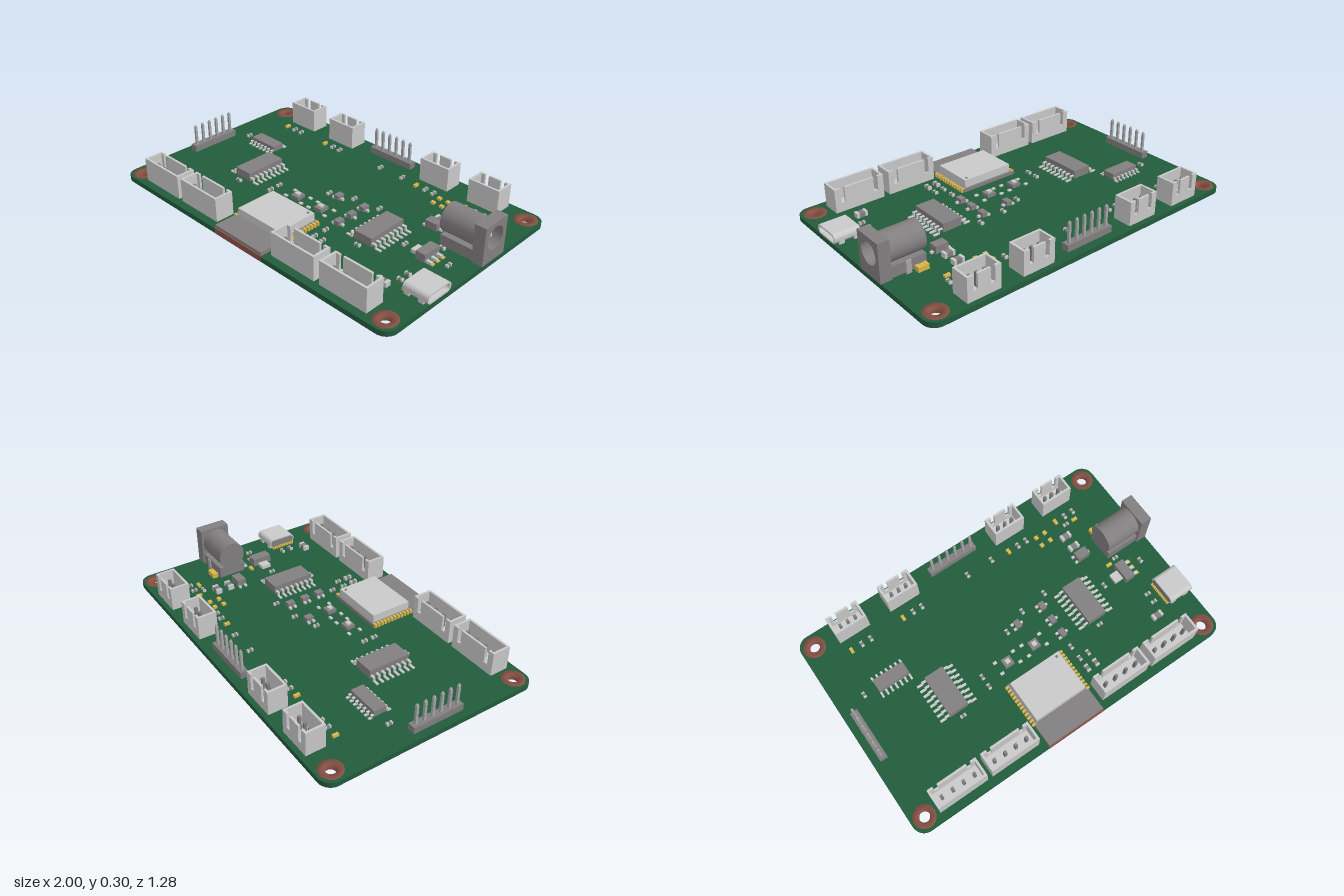
import * as THREE from 'three';

const material = (name, color, side = THREE.FrontSide) => {
  const m = new THREE.MeshStandardMaterial({ color, side });
  m.name = name;
  return m;
};
const green = material('board green', 0x225c3c);
const light = material('light grey plastic', 0xc9c9c9);
const grey = material('dark grey plastic', 0x827f80);
const steel = material('steel', 0xa9a7a8);
const copper = material('copper', 0x8a5346, THREE.DoubleSide);
const gold = material('gold', 0xd9b64a);

const TOP = 0.077, BOTTOM = 0.047;

export function createModel() {
  const model = new THREE.Group();
  model.name = 'circuitBoard';

  const add = (parent, name, geometry, mat, x = 0, y = 0, z = 0) => {
    const mesh = new THREE.Mesh(geometry, mat);
    mesh.name = name;
    mesh.position.set(x, y, z);
    parent.add(mesh);
    return mesh;
  };
  // Box given by its centre in plan and its lower and upper heights
  const box = (parent, name, mat, x, z, w, d, y0, y1) =>
    add(parent, name, new THREE.BoxGeometry(w, y1 - y0, d), mat, x, (y0 + y1) / 2, z);
  const group = (name, x = 0, z = 0) => {
    const g = new THREE.Group();
    g.name = name;
    g.position.set(x, 0, z);
    model.add(g);
    return g;
  };
  const roundRect = (w, h, r) => {
    const s = new THREE.Shape(), a = w / 2, b = h / 2;
    s.absarc(a - r, b - r, r, 0, Math.PI / 2);
    s.absarc(r - a, b - r, r, Math.PI / 2, Math.PI);
    s.absarc(r - a, r - b, r, Math.PI, Math.PI * 1.5);
    s.absarc(a - r, r - b, r, Math.PI * 1.5, Math.PI * 2);
    s.closePath();
    return s;
  };
  const circle = (x, y, r) => new THREE.Path().absarc(x, y, r, 0, Math.PI * 2, true);
  const extrude = (shape, depth) =>
    new THREE.ExtrudeGeometry(shape, { depth, bevelEnabled: false, curveSegments: 12 });

  // Board with four plated mounting holes
  const corners = [[-0.92, -0.56], [0.92, -0.56], [-0.92, 0.56], [0.92, 0.56]];
  const outline = roundRect(1.996, 1.275, 0.07);
  corners.forEach(([x, z]) => outline.holes.push(circle(x, -z, 0.031)));
  add(model, 'board', extrude(outline, TOP - BOTTOM).rotateX(-Math.PI / 2), green, 0, BOTTOM, 0);
  const eyelet = [[0.03, 0.0455], [0.063, 0.0455], [0.063, 0.0785], [0.03, 0.0785], [0.03, 0.0455]]
    .map(([r, y]) => new THREE.Vector2(r, y));
  corners.forEach(([x, z]) => add(model, 'mountingRing', new THREE.LatheGeometry(eyelet, 28), copper, x, 0, z));

  // Open-topped plug sockets with two slots in the rear wall
  const socket = (x, z, pins) => {
    const g = group('plugSocket', x, z), w = pins === 4 ? 0.297 : 0.194, d = 0.112, t = 0.013, y1 = 0.216;
    box(g, 'floor', light, 0, 0, w, d, TOP, 0.1);
    box(g, 'frontWall', light, 0, d / 2 - t / 2, w, t, 0.1, y1);
    for (const s of [-1, 1]) box(g, 'endWall', light, s * (w - t) / 2, 0, t, d - 2 * t, 0.1, y1);
    const a = w / 2, n = a - 0.035, m = n - 0.025, low = 0.13;
    const wall = new THREE.Shape([[-a, 0.1], [a, 0.1], [a, y1], [n, y1], [n, low], [m, low], [m, y1],
      [-m, y1], [-m, low], [-n, low], [-n, y1], [-a, y1]].map(p => new THREE.Vector2(...p)));
    add(g, 'slottedWall', extrude(wall, t), light, 0, 0, -d / 2);
    for (let i = 0; i < pins; i++) {
      const px = (i - (pins - 1) / 2) * 0.067 * (pins === 4 ? 1 : 0.7);
      box(g, 'pin', grey, px, 0.004, 0.016, 0.016, 0.013, 0.18);
      box(g, 'solderPad', copper, px, 0.004, 0.03, 0.03, 0.0455, BOTTOM);
    }
  };
  [-0.694, -0.366, 0.353, 0.683].forEach(x => socket(x, -0.553, 3));
  [-0.693, -0.367, 0.353, 0.685].forEach(x => socket(x, 0.536, 4));

  // Six-pin headers
  const header = (x, z, turn) => {
    const g = group('pinHeader', x, z);
    g.rotation.y = turn;
    for (let i = 0; i < 6; i++) {
      const px = (i - 2.5) * 0.051;
      box(g, 'headerBase', grey, px, 0, 0.051, 0.044, TOP, 0.115);
      box(g, 'headerPin', steel, px, 0, 0.014, 0.014, 0.036, 0.228);
      for (const [y, flip] of [[0.234, 0], [0.031, Math.PI]]) {
        const tip = new THREE.CylinderGeometry(0.003, 0.0099, 0.012, 4).rotateY(Math.PI / 4).rotateX(flip);
        add(g, 'pinTip', tip, steel, px, y, 0);
      }
    }
  };
  header(-0.005, -0.565, 0);
  header(-0.932, 0.04, Math.PI / 2);

  // Chips with gull-wing leads along both long sides
  const chip = (x, z, w, d, h, perSide, pitch, span, turn) => {
    const g = group('chip', x, z);
    g.rotation.y = turn;
    box(g, 'chipBody', grey, 0, 0, w, d, TOP + 0.006, TOP + h);
    for (const s of [-1, 1]) for (let i = 0; i < perSide; i++) {
      const pz = (i - (perSide - 1) / 2) * pitch, mid = TOP + h * 0.5, knee = w / 2 + (span - w) * 0.2;
      box(g, 'leadShoulder', light, s * (w / 2 + knee) / 2, pz, knee - w / 2, pitch * 0.4, mid - 0.006, mid);
      box(g, 'leadDrop', light, s * knee, pz, 0.008, pitch * 0.4, TOP, mid);
      box(g, 'leadFoot', light, s * (knee + span / 2) / 2, pz, span / 2 - knee, pitch * 0.4, TOP, TOP + 0.007);
    }
  };
  chip(-0.465, 0.077, 0.115, 0.25, 0.055, 8, 0.033, 0.23, 0);
  chip(0.455, 0.077, 0.115, 0.25, 0.055, 8, 0.033, 0.23, 0);
  chip(-0.665, -0.163, 0.075, 0.19, 0.04, 7, 0.03, 0.135, Math.PI / 2);

  // Radio module with shield can and castellated edges
  const radio = group('radioModule');
  box(radio, 'moduleBoard', grey, -0.003, 0.432, 0.355, 0.4, TOP, 0.097);
  box(radio, 'shieldCan', light, -0.004, 0.367, 0.318, 0.246, 0.097, 0.143);
  add(radio, 'shieldDot', new THREE.CylinderGeometry(0.008, 0.008, 0.003, 12), grey, 0.13, 0.144, 0.265);
  for (const s of [-1, 1]) for (let i = 0; i < 12; i++)
    box(radio, 'edgePad', gold, -0.003 + s * 0.178, 0.244 + i * 0.0225, 0.022, 0.013, TOP, 0.0985);
  box(radio, 'frontStrip', copper, -0.003, 0.634, 0.36, 0.009, BOTTOM, 0.08);
  box(radio, 'undersidePatch', copper, -0.003, 0.59, 0.34, 0.075, 0.0455, BOTTOM);

  // Barrel power jack, opening towards +x
  const jack = group('powerJack', 0, -0.143), axis = 0.207;
  const face = new THREE.Shape([[-0.09, TOP], [0.09, TOP], [0.09, 0.297], [-0.09, 0.297]]
    .map(p => new THREE.Vector2(...p)));
  face.holes.push(circle(0, axis, 0.064));
  add(jack, 'jackFace', extrude(face, 0.065).rotateY(Math.PI / 2), grey, 0.935, 0, 0);
  const barrel = [[0, 0], [0.08, 0], [0.08, 0], [0.08, 0.21], [0.08, 0.21], [0.064, 0.21], [0.064, 0.21],
    [0.064, 0.03], [0.064, 0.03], [0, 0.03]].map(p => new THREE.Vector2(...p));
  add(jack, 'jackBarrel', new THREE.LatheGeometry(barrel, 32).rotateZ(-Math.PI / 2), grey, 0.727, axis, 0);
  box(jack, 'jackBase', grey, 0.835, 0, 0.2, 0.16, TOP, 0.14);
  add(jack, 'centrePin', new THREE.CylinderGeometry(0.017, 0.017, 0.2, 16).rotateZ(Math.PI / 2), light, 0.86, axis, 0);
  add(jack, 'centrePinTip', new THREE.SphereGeometry(0.017, 16, 8), light, 0.96, axis, 0);
  for (const x of [0.725, 0.78])
    add(jack, 'solderLoop', new THREE.TorusGeometry(0.02, 0.006, 8, 20).rotateY(Math.PI / 2), light, x, 0.03, 0);
  box(jack, 'sideTab', steel, 0.845, -0.094, 0.03, 0.006, TOP, 0.15);
  box(jack, 'sidePin', steel, 0.845, -0.094, 0.012, 0.006, 0, TOP);

  // Data port with hollow shell, tongue and rear contacts
  const port = group('dataPort', 0, 0.28);
  const shell = roundRect(0.172, 0.057, 0.026);
  shell.holes.push(roundRect(0.152, 0.037, 0.017));
  add(port, 'portShell', extrude(shell, 0.15).rotateY(Math.PI / 2), light, 0.85, 0.109, 0);
  add(port, 'portBack', extrude(roundRect(0.158, 0.043, 0.02), 0.05).rotateY(Math.PI / 2), grey, 0.848, 0.109, 0);
  box(port, 'portTongue', grey, 0.935, 0, 0.09, 0.125, 0.104, 0.114);
  for (let i = 0; i < 12; i++)
    box(port, 'portContact', gold, 0.85, (i - 5.5) * 0.0125, 0.03, 0.008, TOP, 0.09);
  for (const s of [-1, 1]) for (const x of [0.875, 0.96])
    box(port, 'shellLeg', light, x, s * 0.08, 0.03, 0.012, 0.05, 0.11);

  // Tiny two-terminal parts: [x, z, runs along x, body material]
  const passive = (x, z, alongX, mat = grey, k = 1) => {
    const g = group('smallPart', x, z);
    if (!alongX) g.rotation.y = Math.PI / 2;
    box(g, 'partBody', mat, 0, 0, 0.018 * k, 0.017 * k, TOP, TOP + 0.014 * k);
    for (const s of [-1, 1])
      box(g, 'partEnd', mat === gold ? gold : light, s * 0.0125 * k, 0, 0.008 * k, 0.018 * k, TOP, TOP + 0.015 * k);
  };
  [-0.76, -0.425, 0.292, 0.625].forEach(x => {
    passive(x, -0.423, false, gold);
    passive(x + 0.065, -0.423, false);
    passive(x + 0.122, -0.423, false);
  });
  [[0.015, -0.435], [0.18, -0.435], [-0.837, -0.167], [0.307, -0.095], [0.142, -0.075], [0.003, -0.022],
    [-0.257, 0.115], [-0.257, 0.18], [0.243, 0.25], [0.243, 0.33], [0.3, 0.33], [0.615, 0.062], [0.88, 0.053]]
    .forEach(([x, z]) => passive(x, z, false));
  [[-0.462, 0.235], [0.452, 0.235], [0.785, 0.243], [0.785, 0.3], [0.665, -0.375], [0.77, -0.04]]
    .forEach(([x, z]) => passive(x, z, true));
  [[0.615, -0.31], [0.615, -0.232], [0.745, 0.377]].forEach(([x, z]) => passive(x, z, true, grey, 1.9));
  [[0.243, 0.4], [0.3, 0.4]].forEach(([x, z]) => passive(x, z, false, grey, 1.3));
  [[0.725, -0.375], [0.715, -0.025]].forEach(([x, z]) => passive(x, z, true, gold));
  passive(0.78, -0.25, true, gold, 1.9);
  for (const x of [0.473, 0.532]) for (const z of [-0.402, -0.345])
    box(model, 'testPad', gold, x, z, 0.022, 0.022, TOP, TOP + 0.014);

  // Three-legged transistors
  const transistor = (x, z, w, d, h) => {
    const g = group('transistor', x, z);
    box(g, 'transistorBody', grey, 0, 0, w, d, TOP + 0.003, TOP + h);
    for (const [lx, lz] of [[-1, -0.35], [-1, 0.35], [1, 0]])
      box(g, 'transistorLeg', light, lx * (w / 2 + 0.008), lz * d, 0.018, 0.014, TOP, TOP + 0.012);
  };
  [[0.075, -0.025], [0.25, -0.035], [0.25, 0.063], [0.25, 0.158]].forEach(([x, z]) => transistor(x, z, 0.034, 0.045, 0.03));
  transistor(0.62, -0.163, 0.075, 0.052, 0.045);

  // Voltage regulator with heat tab
  const regulator = group('regulator', 0.755, 0.06);
  box(regulator, 'regulatorBody', grey, 0, 0, 0.058, 0.115, TOP + 0.004, TOP + 0.05);
  box(regulator, 'heatTab', light, -0.055, 0, 0.052, 0.058, TOP, TOP + 0.02);
  for (const z of [-0.04, 0, 0.04]) {
    box(regulator, 'regulatorLeg', light, 0.045, z, 0.034, 0.018, TOP, TOP + 0.015);
    box(regulator, 'solder', gold, 0.066, z, 0.012, 0.022, TOP, TOP + 0.008);
  }

  // Push buttons with four corner pads
  for (const x of [-0.095, 0.083]) {
    const g = group('pushButton', x, 0.123);
    box(g, 'buttonBody', grey, 0, 0, 0.055, 0.055, TOP, TOP + 0.02);
    box(g, 'buttonCap', light, 0, 0, 0.026, 0.026, TOP + 0.02, TOP + 0.03);
    for (const sx of [-1, 1]) for (const sz of [-1, 1])
      box(g, 'buttonPad', light, sx * 0.06, sz * 0.036, 0.022, 0.016, TOP, TOP + 0.008);
  }
  return model;
}
